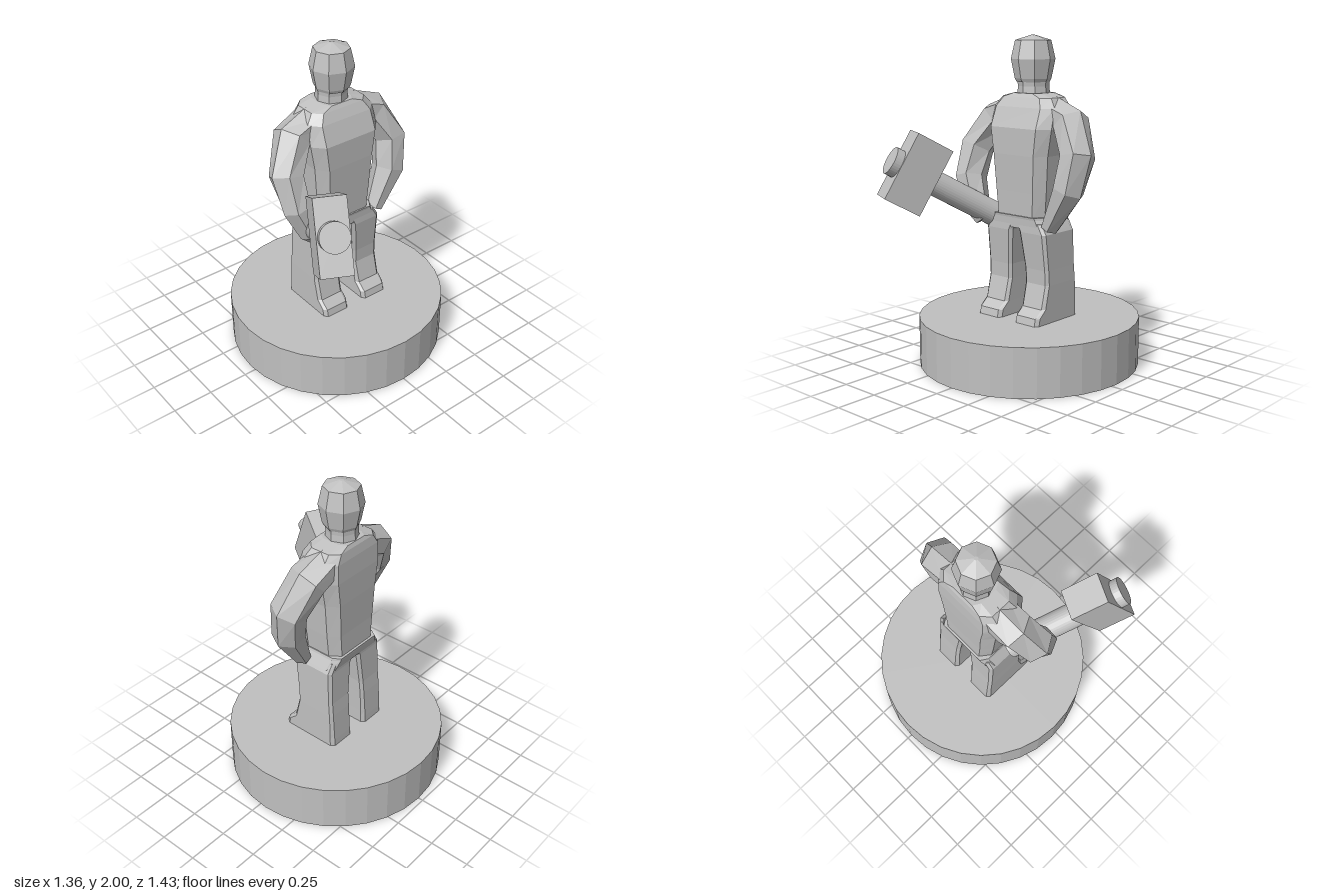
import * as THREE from 'three';

const stone = new THREE.MeshStandardMaterial({ color: 0xc0c0c0, flatShading: true });
stone.name = 'grey stone';

// Skin a list of rings (each counter-clockwise about its direction of travel) and close both ends
function loft(rings) {
  const pos = [];
  const tri = (a, b, c) => [a, b, c].forEach((p) => pos.push(p.x, p.y, p.z));
  const n = rings[0].length;
  for (let i = 0; i < rings.length - 1; i++) {
    for (let j = 0; j < n; j++) {
      const k = (j + 1) % n;
      tri(rings[i][j], rings[i][k], rings[i + 1][k]);
      tri(rings[i][j], rings[i + 1][k], rings[i + 1][j]);
    }
  }
  const cap = (ring, flip) => {
    for (let j = 1; j < n - 1; j++) {
      if (flip) tri(ring[0], ring[j + 1], ring[j]);
      else tri(ring[0], ring[j], ring[j + 1]);
    }
  };
  cap(rings[0], true);
  cap(rings[rings.length - 1], false);
  const geo = new THREE.BufferGeometry();
  geo.setAttribute('position', new THREE.Float32BufferAttribute(pos, 3));
  geo.computeVertexNormals();
  return geo;
}

// Level ring: a rectangle with cut corners; cutX and cutZ are the corner cuts as fractions
function cutRect(y, x0, x1, z0, z1, cutX, cutZ) {
  const cx = (x1 - x0) * cutX, cz = (z1 - z0) * cutZ;
  return [
    [x0 + cx, z1], [x1 - cx, z1], [x1, z1 - cz], [x1, z0 + cz],
    [x1 - cx, z0], [x0 + cx, z0], [x0, z0 + cz], [x0, z1 - cz],
  ].map(([x, z]) => new THREE.Vector3(x, y, z));
}

// Level round ring
function roundRing(y, r, z, n = 8) {
  return Array.from({ length: n }, (_, j) => {
    const a = (j / n) * Math.PI * 2;
    return new THREE.Vector3(Math.sin(a) * r, y, z + Math.cos(a) * r);
  });
}

// Six-sided limb through stations [x, y, z, radius in depth, radius across]
function limb(stations) {
  const centers = stations.map((s) => new THREE.Vector3(s[0], s[1], s[2]));
  return loft(stations.map((s, i) => {
    const a = centers[Math.max(0, i - 1)], b = centers[Math.min(centers.length - 1, i + 1)];
    const d = b.clone().sub(a).normalize();
    const u = new THREE.Vector3(0, 0, 1).addScaledVector(d, -d.z).normalize();
    const v = d.clone().cross(u);
    return Array.from({ length: 6 }, (_, j) => {
      const t = ((j + 0.5) / 6) * Math.PI * 2;
      return centers[i].clone()
        .addScaledVector(u, Math.cos(t) * s[3] * 1.15)
        .addScaledVector(v, Math.sin(t) * s[4]);
    });
  }));
}

export function createModel() {
  const group = new THREE.Group();
  const add = (name, geo, parent = group) => {
    const mesh = new THREE.Mesh(geo, stone);
    mesh.name = name;
    parent.add(mesh);
    return mesh;
  };

  // Round plinth
  add('base', new THREE.CylinderGeometry(0.678, 0.678, 0.3, 32)).position.set(0, 0.15, -0.042);

  // Legs with forward feet: [y, inner x, outer x, back z, front z]
  const legRows = [
    [0.3, 0.058, 0.24, -0.222, 0.165],
    [0.345, 0.058, 0.24, -0.22, 0.155],
    [0.39, 0.058, 0.24, -0.217, 0.1],
    [0.53, 0.056, 0.24, -0.208, 0.065],
    [0.62, 0.054, 0.238, -0.2, 0.068],
    [0.84, 0.028, 0.235, -0.192, 0.092],
    [0.9, 0.0, 0.2, -0.195, 0.09],
  ];
  for (const [name, left] of [['leftLeg', true], ['rightLeg', false]]) {
    add(name, loft(legRows.map(([y, a, b, z0, z1]) =>
      cutRect(y, left ? a : -b, left ? b : -a, z0, z1, 0.1, 0.06))));
  }

  // Hips and the hem of the shirt
  add('hips', loft([
    [0.86, 0.228, -0.195, 0.09], [0.92, 0.192, -0.213, 0.092], [0.935, 0.187, -0.215, 0.095],
  ].map(([y, w, z0, z1]) => cutRect(y, -w, w, z0, z1, 0.08, 0.15))));

  // Torso
  add('torso', loft([
    [0.92, 0.18, -0.2, 0.085], [1.08, 0.195, -0.2, 0.092], [1.3, 0.212, -0.205, 0.103],
    [1.46, 0.24, -0.207, 0.105], [1.58, 0.235, -0.203, 0.06], [1.637, 0.19, -0.195, 0.03],
    [1.66, 0.1, -0.185, 0.015],
  ].map(([y, w, z0, z1]) => cutRect(y, -w, w, z0, z1, 0.13, 0.22))));

  // Neck and head
  add('neck', loft([roundRing(1.63, 0.1, -0.083), roundRing(1.7, 0.094, -0.082), roundRing(1.75, 0.098, -0.08)]));
  add('head', loft([
    [1.725, 0.1], [1.745, 0.11], [1.86, 0.133], [1.97, 0.108], [2.0, 0.012],
  ].map(([y, r]) => roundRing(y, r, -0.077))));

  // Left arm hangs with the hand at the hip, right arm reaches to the handle
  add('leftArm', limb([
    [0.14, 1.56, -0.09, 0.1, 0.09], [0.29, 1.5, -0.08, 0.105, 0.1], [0.39, 1.31, -0.02, 0.1, 0.1],
    [0.355, 1.11, 0.02, 0.09, 0.095], [0.23, 0.875, 0.035, 0.055, 0.05],
  ]));
  add('rightArm', limb([
    [-0.14, 1.56, -0.09, 0.1, 0.09], [-0.29, 1.5, -0.075, 0.105, 0.1], [-0.39, 1.31, 0.0, 0.1, 0.1],
    [-0.375, 1.13, 0.075, 0.09, 0.09], [-0.3, 0.96, 0.105, 0.075, 0.08], [-0.25, 0.88, 0.09, 0.055, 0.05],
  ]));

  // Hammer, built with its handle along local z, then turned forward, out and up
  const hammer = new THREE.Group();
  hammer.name = 'hammer';
  hammer.position.set(-0.448, 1.19, 0.478);
  hammer.rotation.set(-0.515, -0.464, 0, 'YXZ');
  group.add(hammer);
  add('hammerHead', new THREE.BoxGeometry(0.187, 0.434, 0.24), hammer);
  add('hammerHandle', new THREE.CylinderGeometry(0.077, 0.077, 0.52, 32).rotateX(Math.PI / 2), hammer)
    .position.z = -0.36;
  add('hammerBoss', new THREE.CylinderGeometry(0.087, 0.087, 0.06, 32).rotateX(Math.PI / 2), hammer)
    .position.z = 0.14;

  return group;
}
